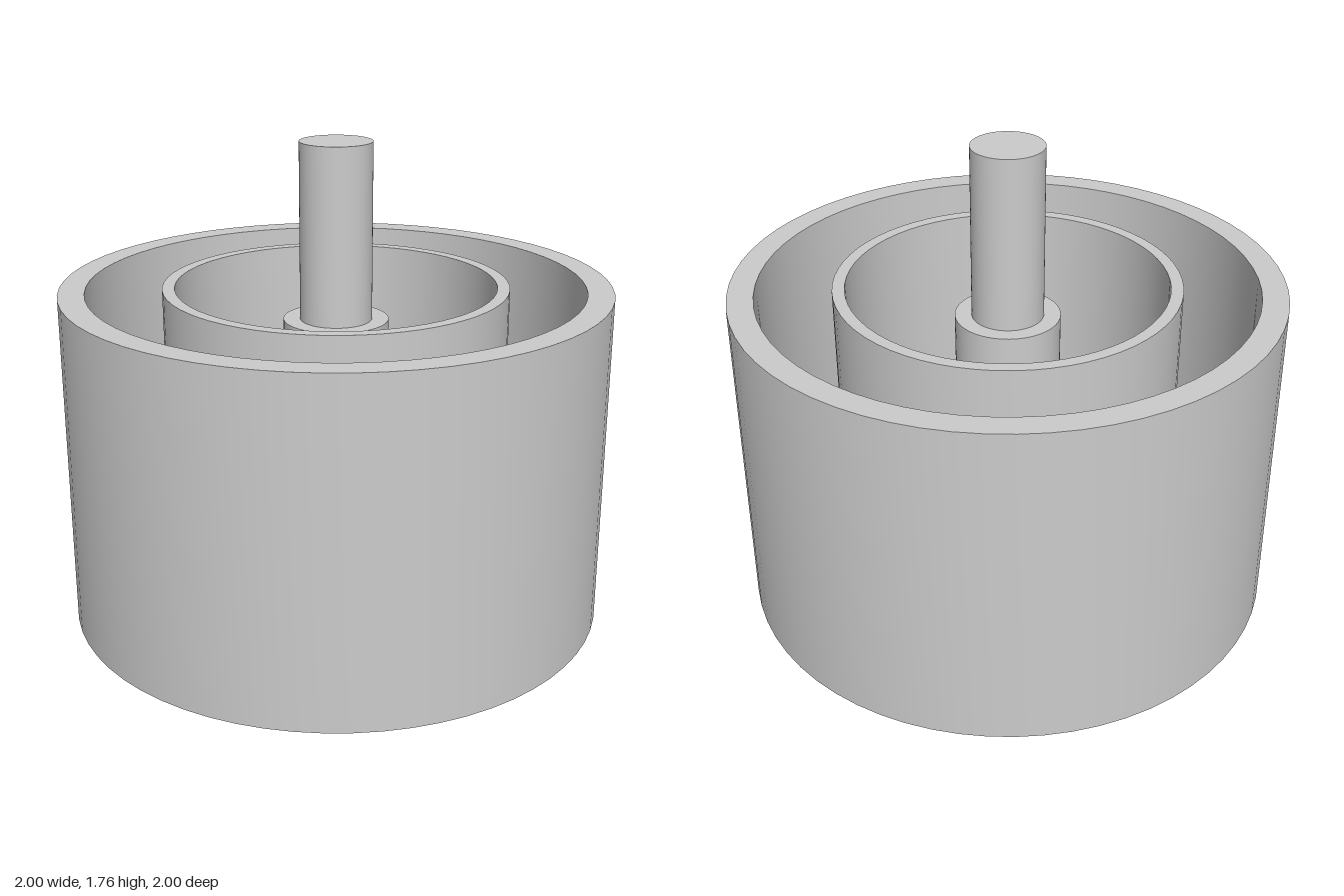
import * as THREE from 'three';
import { toCreasedNormals } from 'three/addons/utils/BufferGeometryUtils.js';

const SEGMENTS = 64;
const FLOOR = 0.1;
const RIM = 1.24;

export function createModel() {
  const group = new THREE.Group();
  const material = new THREE.MeshStandardMaterial({ color: 0xcccccc });

  // Turned part from a [radius, height] profile, running up the outside and down the inside
  function turned(name, profile) {
    const points = profile.map(([r, y]) => new THREE.Vector2(r, y));
    const geometry = toCreasedNormals(new THREE.LatheGeometry(points, SEGMENTS), 0.6);
    const mesh = new THREE.Mesh(geometry, material);
    mesh.name = name;
    group.add(mesh);
  }

  // Outer cup with a thick wall and a closed bottom
  turned('outerCup', [[0, 0], [1, 0], [1, RIM], [0.905, RIM], [0.905, FLOOR], [0, FLOOR]]);

  // Thin inner sleeve, level with the cup rim
  turned('innerSleeve', [[0.63, FLOOR], [0.63, RIM], [0.585, RIM], [0.585, FLOOR]]);

  // Collar around the rod, a little below the rim
  turned('collar', [[0.193, FLOOR], [0.193, 1.11], [0.132, 1.11]]);

  // Central rod standing out of the cup
  turned('centralRod', [[0.132, FLOOR], [0.132, 1.76], [0, 1.76]]);

  return group;
}
